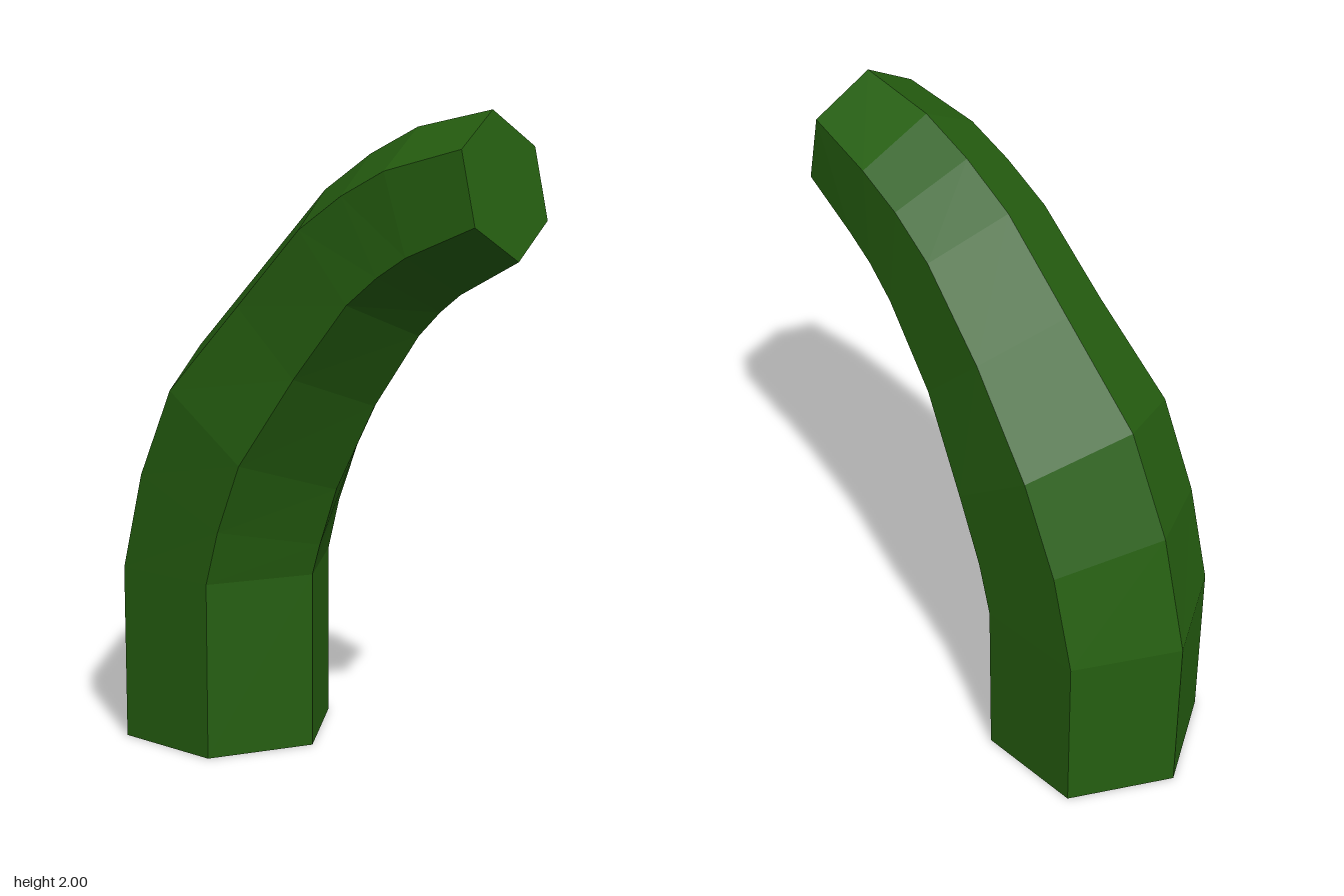
import * as THREE from 'three';

// Each ring is a regular hexagon given by its front and back corner: [frontZ, frontY, backZ, backY]
const RINGS = [
  [-0.02, 0, -0.72, 0],
  [-0.02, 0.56, -0.72, 0.56],
  [0.01, 0.66, -0.625, 0.94],
  [0.075, 0.845, -0.48, 1.25],
  [0.22, 1.12, -0.21, 1.52],
  [0.38, 1.345, 0.03, 1.76],
  [0.455, 1.42, 0.2, 1.87],
  [0.525, 1.475, 0.37, 1.95],
  [0.72, 1.58, 0.625, 2.0],
];
const SIDES = 6;

// Closed, faceted hexagonal tube through the rings
function sweptHexagon(rings) {
  const positions = [];
  const index = [];
  for (const [fz, fy, bz, by] of rings) {
    const cz = (fz + bz) / 2, cy = (fy + by) / 2;
    const radius = Math.hypot(bz - fz, by - fy) / 2;
    for (let j = 0; j < SIDES; j++) {
      const a = (j / SIDES) * Math.PI * 2;
      positions.push(
        radius * Math.sin(a),
        cy + Math.cos(a) * (by - cy),
        cz + Math.cos(a) * (bz - cz),
      );
    }
  }
  // Side walls
  for (let i = 0; i < rings.length - 1; i++) {
    for (let j = 0; j < SIDES; j++) {
      const k = (j + 1) % SIDES;
      const a = i * SIDES + k, b = i * SIDES + j;
      const c = b + SIDES, d = a + SIDES;
      index.push(a, b, c, a, c, d);
    }
  }
  // End caps
  const top = (rings.length - 1) * SIDES;
  for (let j = 1; j < SIDES - 1; j++) {
    index.push(0, j, j + 1);
    index.push(top, top + j + 1, top + j);
  }
  const geometry = new THREE.BufferGeometry();
  geometry.setAttribute('position', new THREE.Float32BufferAttribute(positions, 3));
  geometry.setIndex(index);
  const faceted = geometry.toNonIndexed();
  faceted.computeVertexNormals();
  return faceted;
}

export function createModel() {
  const group = new THREE.Group();
  group.name = 'bentStalk';

  const green = new THREE.MeshStandardMaterial({ color: 0x255e10 });
  green.name = 'dark green';

  const stalk = new THREE.Mesh(sweptHexagon(RINGS), green);
  stalk.name = 'stalk';
  group.add(stalk);
  return group;
}
